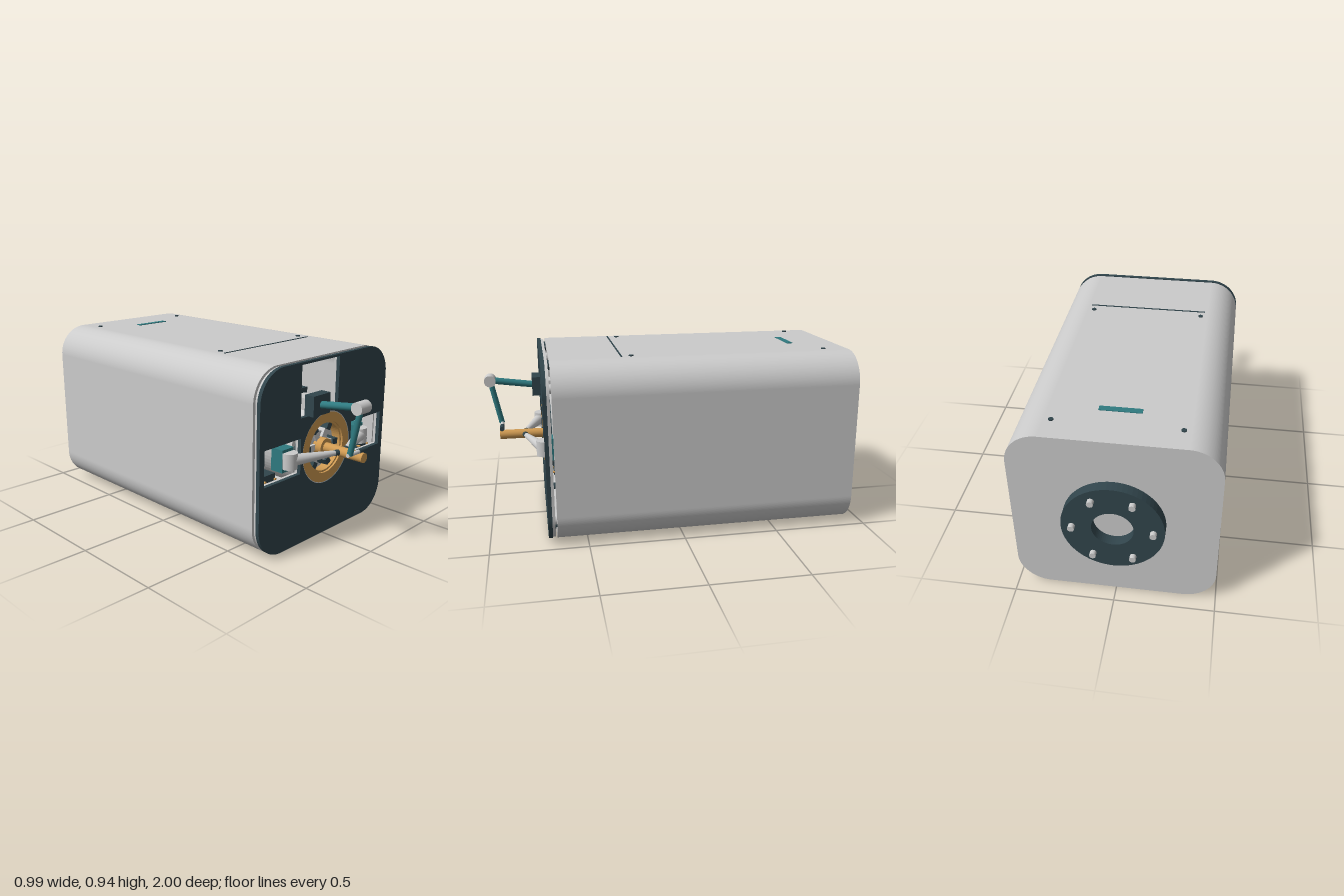
import * as THREE from 'three';

const CY = 0.4725; // height of the main axis
const paint = (color) => new THREE.MeshStandardMaterial({ color });
const GREY = paint(0xcccccc), DARK = paint(0x31454c), GOLD = paint(0xcf9a52), TEAL = paint(0x2f7a80);

export function createModel() {
  const model = new THREE.Group();

  const add = (name, geo, mat, x = 0, y = 0, z = 0) => {
    const m = new THREE.Mesh(geo, mat);
    m.name = name;
    m.position.set(x, y, z);
    model.add(m);
    return m;
  };
  // box given by its limits
  const box = (name, mat, x0, x1, y0, y1, z0, z1) =>
    add(name, new THREE.BoxGeometry(Math.abs(x1 - x0), y1 - y0, z1 - z0), mat,
      (x0 + x1) / 2, (y0 + y1) / 2, (z0 + z1) / 2);
  // round bar from a to b, radius ra to rb
  const bar = (name, mat, a, b, ra, rb = ra) => {
    const p = new THREE.Vector3(...a), q = new THREE.Vector3(...b);
    const d = q.clone().sub(p);
    const m = add(name, new THREE.CylinderGeometry(rb, ra, d.length(), 32), mat);
    m.position.copy(p).add(q).multiplyScalar(0.5);
    m.quaternion.setFromUnitVectors(new THREE.Vector3(0, 1, 0), d.normalize());
    return m;
  };
  // rounded square outline centred on the axis
  const outline = (Type, w, h, r) => {
    const s = new Type();
    s.moveTo(w, CY - h + r);
    s.lineTo(w, CY + h - r);
    s.absarc(w - r, CY + h - r, r, 0, Math.PI / 2);
    s.absarc(-w + r, CY + h - r, r, Math.PI / 2, Math.PI);
    s.absarc(-w + r, CY - h + r, r, Math.PI, Math.PI * 1.5);
    s.absarc(w - r, CY - h + r, r, Math.PI * 1.5, Math.PI * 2);
    return s;
  };
  const circle = (Type, r) => {
    const s = new Type();
    s.absarc(0, CY, r, 0, Math.PI * 2);
    return s;
  };
  const rect = (x0, x1, y0, y1) => new THREE.Path([[x0, y0], [x1, y0], [x1, y1], [x0, y1]]
    .map((p) => new THREE.Vector2(...p)));
  const extrude = (name, mat, shape, holes, z0, z1) => {
    shape.holes.push(...holes);
    return add(name, new THREE.ExtrudeGeometry(shape,
      { depth: z1 - z0, bevelEnabled: false, curveSegments: 32 }), mat, 0, 0, z0);
  };
  const ring = (name, mat, outer, inner, z0, z1) =>
    extrude(name, mat, circle(THREE.Shape, outer), [circle(THREE.Path, inner)], z0, z1);

  // hollow housing with a closed back
  extrude('housingShell', GREY, outline(THREE.Shape, 0.495, 0.4675, 0.16),
    [outline(THREE.Path, 0.468, 0.44, 0.133)], -0.9, 0.658);
  extrude('housingBack', GREY, outline(THREE.Shape, 0.495, 0.4675, 0.16), [], -0.92, -0.9);

  // front panel in two layers, with three windows and a round opening
  const openings = () => [circle(THREE.Path, 0.188), rect(-0.21, 0.08, 0.667, 0.928),
    rect(0.202, 0.463, 0.382, 0.565), rect(-0.463, -0.202, 0.382, 0.565)];
  extrude('panelBacking', GREY, outline(THREE.Shape, 0.49, 0.4625, 0.155), openings(), 0.667, 0.682);
  extrude('frontPanel', DARK, outline(THREE.Shape, 0.495, 0.4675, 0.16), openings(), 0.682, 0.702);

  // spacers that hold the panel off the housing
  for (const sx of [-1, 1]) {
    for (const y of [0.13, 0.815]) {
      bar('panelSpacer', GREY, [sx * 0.425, y, 0.6], [sx * 0.425, y, 0.67], 0.024);
    }
    for (const y of [0.04, 0.905]) {
      bar('panelSpacer', DARK, [sx * 0.28, y, 0.6], [sx * 0.28, y, 0.67], 0.024);
    }
  }

  // central drum behind the panel, with its spoked core
  ring('drum', GREY, 0.22, 0.19, 0.3, 0.655);
  ring('drumCollar', DARK, 0.197, 0.187, 0.64, 0.675);
  bar('drumFloor', GREY, [0, CY, 0.58], [0, CY, 0.61], 0.192);
  bar('coreDisc', GREY, [0, CY, 0.6], [0, CY, 0.65], 0.075);
  ring('rimLip', GREY, 0.188, 0.184, 0.66, 0.7);
  ring('goldRing', GOLD, 0.184, 0.135, 0.65, 0.7);
  ring('goldRingStep', GOLD, 0.136, 0.125, 0.64, 0.69);
  for (let i = 0; i < 6; i++) {
    const a = (i * Math.PI) / 3;
    const spoke = (name, mat, r0, r1, w, z0, z1) => {
      const r = (r0 + r1) / 2;
      const m = add(name, new THREE.BoxGeometry(r1 - r0, w, z1 - z0), mat,
        r * Math.cos(a), CY + r * Math.sin(a), (z0 + z1) / 2);
      m.rotation.z = a;
    };
    spoke('clampJaw', DARK, 0.09, 0.128, 0.032, 0.61, 0.675);
    spoke('spoke', GREY, 0.03, 0.09, 0.03, 0.61, 0.665);
  }

  // gold spindle
  bar('spindleHub', GOLD, [0, CY, 0.62], [0, CY, 0.7], 0.045);
  bar('spindle', GOLD, [0, CY, 0.65], [0, CY, 0.93], 0.025);

  // upper arm: mount, two teal links, knuckle and finger
  box('armMount', DARK, -0.168, -0.042, 0.672, 0.775, 0.69, 0.745);
  box('armMotor', DARK, -0.168, -0.042, 0.69, 0.775, 0.46, 0.6);
  box('armMountFoot', GREY, -0.15, -0.06, 0.69, 0.75, 0.6, 0.7);
  bar('upperLink', TEAL, [-0.105, 0.722, 0.73], [-0.105, 0.755, 0.97], 0.018);
  bar('lowerLink', TEAL, [-0.105, 0.755, 0.97], [-0.105, 0.512, 0.92], 0.015);
  bar('knuckle', GREY, [-0.144, 0.755, 0.97], [-0.066, 0.755, 0.97], 0.031);
  bar('finger', GREY, [-0.12, 0.511, 0.918], [-0.03, 0.511, 0.918], 0.01);
  bar('fingerPad', DARK, [-0.032, 0.512, 0.917], [0.032, 0.512, 0.917], 0.012);

  // mirrored side arms
  for (const s of [-1, 1]) {
    box('armBracket', TEAL, s * 0.242, s * 0.324, 0.415, 0.53, 0.62, 0.69);
    bar('armPivot', GREY, [s * 0.283, 0.435, 0.7], [s * 0.283, 0.515, 0.7], 0.04);
    bar('sideArm', GREY, [s * 0.275, 0.475, 0.71], [s * 0.045, 0.475, 0.79], 0.03, 0.013);
    bar('sideArmTip', DARK, [s * 0.047, 0.475, 0.789], [s * 0.026, 0.475, 0.796], 0.015);
    box('sensorBlock', DARK, s * 0.34, s * 0.416, 0.37, 0.415, 0.57, 0.66);
    for (const x of [0.343, 0.413]) {
      bar('sensorPin', GOLD, [s * x, 0.385, 0.65], [s * x, 0.385, 0.668], 0.006);
    }
  }

  // rear flange with six bolts
  ring('rearFlange', DARK, 0.245, 0.1, -0.975, -0.92);
  for (let i = 0; i < 6; i++) {
    const a = (i * Math.PI) / 3;
    const x = 0.192 * Math.cos(a), y = CY + 0.192 * Math.sin(a);
    bar('flangeBolt', GREY, [x, y, -0.96], [x, y, -1], 0.016);
  }

  // marks, seams and screws on the top and underside
  for (const y of [0.0045, 0.9405]) {
    box('statusStrip', TEAL, -0.102, 0.102, y - 0.003, y + 0.003, -0.692, -0.66);
    box('seam', DARK, -0.322, 0.322, y - 0.002, y + 0.002, 0.292, 0.3);
    for (const x of [-0.3, 0.3]) {
      for (const z of [-0.79, 0.245]) {
        bar('screw', DARK, [x, y - 0.0045, z], [x, y + 0.0045, z], 0.012);
      }
    }
  }
  return model;
}
